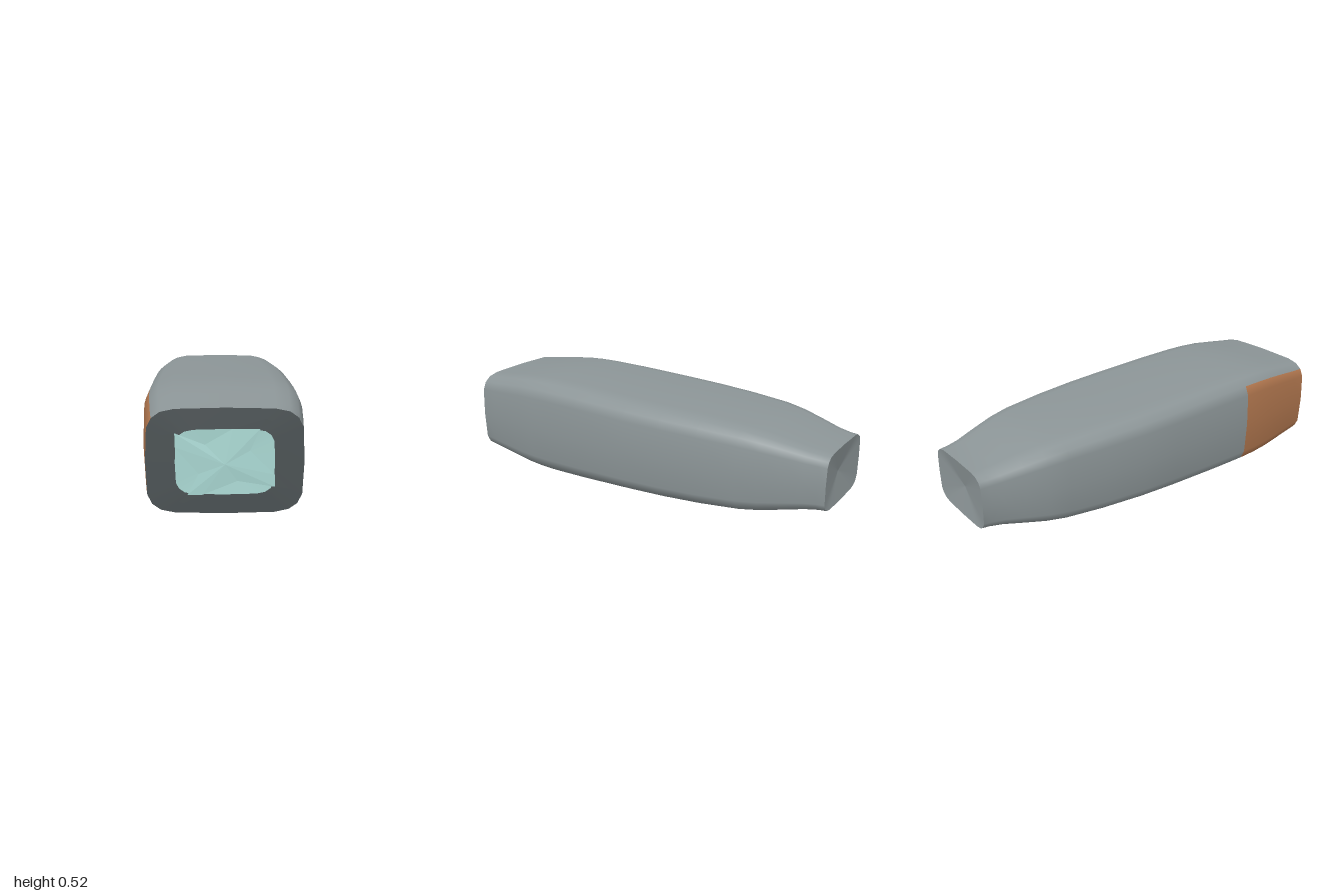
import * as THREE from 'three';

const mat = (name, color, side = THREE.FrontSide) => {
  const m = new THREE.MeshStandardMaterial({ color, side });
  m.name = name;
  return m;
};

// Rounded-rectangle outline, one quadrant mirrored into a counter-clockwise loop
const Q = [[1, 0], [0.98, 0.63], [0.92, 0.81], [0.81, 0.925], [0.63, 0.98], [0, 1]];
const LOOP = [
  ...Q.slice(0, 5),
  ...Q.slice(1).reverse().map(([x, y]) => [-x, y]),
  ...Q.slice(0, 5).map(([x, y]) => [-x, -y]),
  ...Q.slice(1).reverse().map(([x, y]) => [x, -y]),
];
const N = LOOP.length;

// Skin a list of [z, halfWidth, top, bottom] sections; pick(i, j) gives the material index
function loft(name, sections, materials, pick = () => 0) {
  const pos = [];
  for (const [z, w, top, bottom] of sections)
    for (const [x, y] of LOOP)
      pos.push(x * w, (top + bottom) / 2 + y * (top - bottom) / 2, z);
  const lists = materials.map(() => []);
  for (let i = 0; i < sections.length - 1; i++)
    for (let j = 0; j < N; j++) {
      const a = i * N + j, b = i * N + (j + 1) % N, c = a + N, d = b + N;
      const list = lists[pick(i, j)];
      if (sections[i][1] > 0) list.push(a, c, b);
      if (sections[i + 1][1] > 0) list.push(b, c, d);
      else if (sections[i][1] > 0) list.splice(-3, 3, a, c, b);
    }
  const g = new THREE.BufferGeometry();
  g.setAttribute('position', new THREE.Float32BufferAttribute(pos, 3));
  g.setIndex(lists.flat());
  let start = 0;
  lists.forEach((l, k) => { g.addGroup(start, l.length, k); start += l.length; });
  g.computeVertexNormals();
  const mesh = new THREE.Mesh(g, materials.length > 1 ? materials : materials[0]);
  mesh.name = name;
  return mesh;
}

// Triangles from a flat list of points
function facets(name, points, material) {
  const g = new THREE.BufferGeometry();
  g.setAttribute('position', new THREE.Float32BufferAttribute(points.flat(), 3));
  g.computeVertexNormals();
  const mesh = new THREE.Mesh(g, material);
  mesh.name = name;
  return mesh;
}

export function createModel() {
  const grey = mat('hull grey', 0x8c9597);
  const copper = mat('copper panel', 0xb0764e);
  const dark = mat('dark face', 0x4c5355, THREE.DoubleSide);
  const teal = mat('pale teal', 0xaad8d3, THREE.DoubleSide);
  const model = new THREE.Group();
  model.name = 'taperedPod';

  // Hull with a copper panel on the front of its right side
  const hull = [
    [0.985, 0.318, 0.483, 0.047], [0.9, 0.328, 0.493, 0.037], [0.8, 0.338, 0.506, 0.024],
    [0.7, 0.348, 0.518, 0.011], [0.6, 0.354, 0.523, 0.004], [0.5, 0.356, 0.524, 0.002],
    [0.3, 0.357, 0.52, 0.006], [0, 0.357, 0.508, 0.018], [-0.2, 0.35, 0.5, 0.026],
    [-0.4, 0.332, 0.491, 0.036], [-0.6, 0.307, 0.477, 0.052], [-0.7, 0.288, 0.462, 0.068],
    [-0.8, 0.26, 0.44, 0.09], [-0.9, 0.23, 0.416, 0.112], [-0.96, 0.217, 0.407, 0.121],
    [-1, 0.212, 0.404, 0.124],
  ];
  model.add(loft('hull', hull, [grey, copper], (i, j) => (i < 5 && j >= 8 && j < 13 ? 1 : 0)));

  // Rear end, slightly dished
  model.add(loft('rearEnd', [hull[hull.length - 1], [-0.975, 0, 0.264, 0.264]], [grey]));

  // Front face: dark surround and teal centre
  const lens = [0.99, 0.2, 0.398, 0.128];
  model.add(loft('frontSurround', [lens, hull[0]], [dark]));
  model.add(loft('frontLens', [[0.982, 0, 0.263, 0.263], lens], [teal]));

  // Low four-armed star: notch, edge crossing, blunt tip, edge crossing, next notch
  const arms = [
    [[0.1, 0.31], [0.14, 0.399], [0.19, 0.428], [0.16, 0.438], [0.03, 0.399], [-0.08, 0.335]],
    [[-0.08, 0.335], [-0.2, 0.382], [-0.245, 0.395], [-0.255, 0.375], [-0.2, 0.325], [-0.105, 0.215]],
    [[-0.105, 0.215], [-0.15, 0.128], [-0.185, 0.098], [-0.165, 0.092], [-0.09, 0.128], [0.05, 0.185]],
    [[0.05, 0.185], [0.2, 0.16], [0.245, 0.135], [0.255, 0.152], [0.2, 0.21], [0.1, 0.31]],
  ];
  const centre = [0, 0.255, 1], inner = [], outer = [];
  for (const arm of arms) {
    const [n1, c1, t1, t2, c2, n2] = arm.map(([x, y], k) =>
      [x, y, k === 2 || k === 3 ? 0.9915 : 0.993]);
    inner.push(centre, n1, c1, centre, c1, c2, centre, c2, n2);
    outer.push(c1, t1, t2, c1, t2, c2);
  }
  model.add(facets('starCentre', inner, teal));
  model.add(facets('starTips', outer, dark));
  return model;
}
